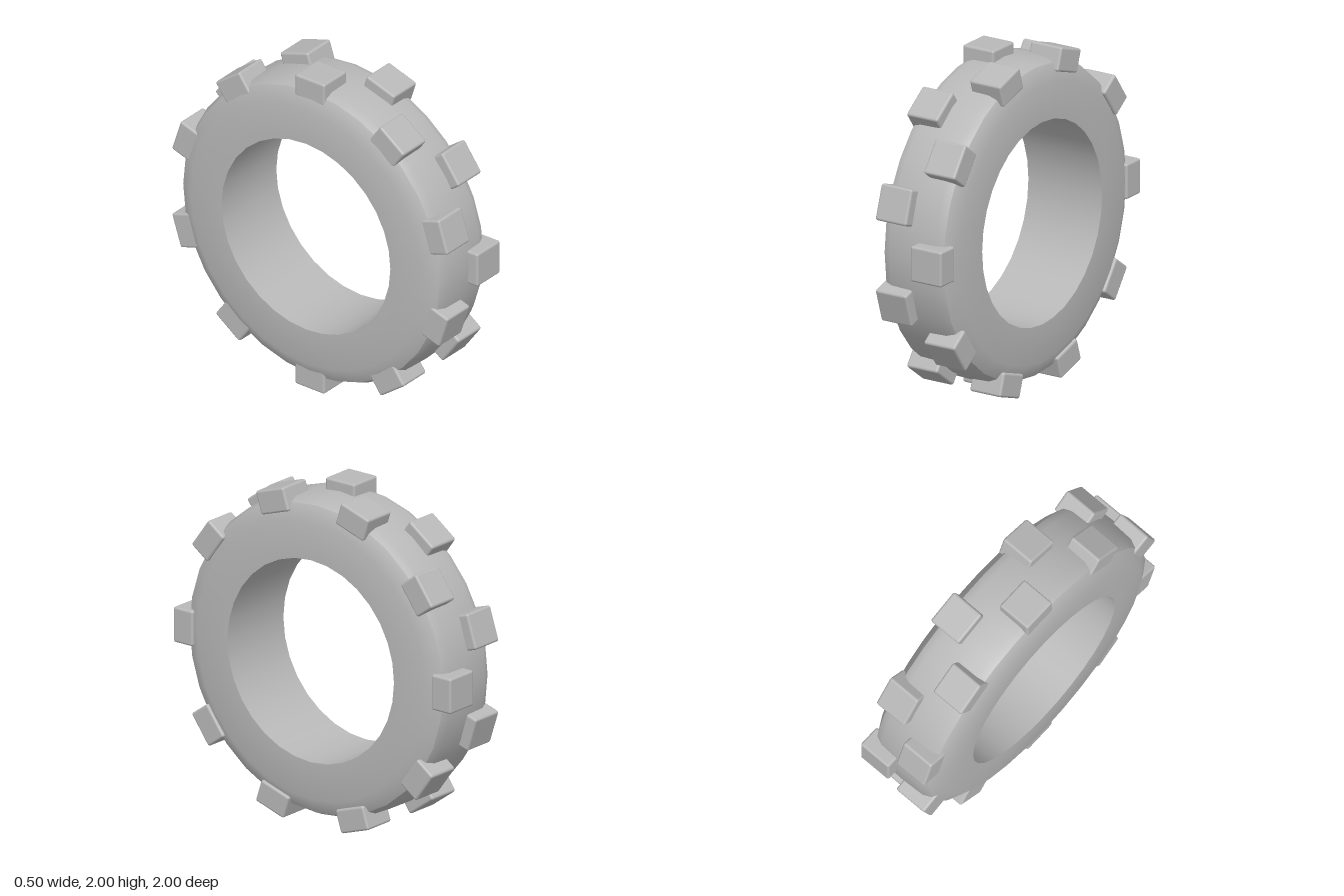
import * as THREE from 'three';
import { RoundedBoxGeometry } from 'three/addons/geometries/RoundedBoxGeometry.js';

const SIDES = 32;
const KNOBS = 10;

export function createModel() {
  const model = new THREE.Group();
  model.name = 'knobblyTyre';
  const rubber = new THREE.MeshStandardMaterial({ color: 0xb8b8b8 });
  rubber.name = 'grey rubber';

  // the wheel axis runs along x, one unit above the ground
  const tyre = new THREE.Group();
  tyre.name = 'tyre';
  tyre.position.y = 1;
  model.add(tyre);

  // ring surface from [radius, x] pairs; separate rings keep the creases sharp
  const ring = (name, profile) => {
    const points = profile.map(([r, x]) => new THREE.Vector2(r, x));
    const geometry = new THREE.LatheGeometry(points, SIDES).rotateZ(-Math.PI / 2);
    const mesh = new THREE.Mesh(geometry, rubber);
    mesh.name = name;
    tyre.add(mesh);
  };

  ring('tread', [[0.912, -0.2], [0.934, -0.15], [0.94, 0], [0.934, 0.15], [0.912, 0.2]]);
  ring('leftSidewall', [[0.912, 0.2], [0.82, 0.25], [0.6, 0.25]]);
  ring('rightSidewall', [[0.6, -0.25], [0.82, -0.25], [0.912, -0.2]]);
  ring('bore', [[0.6, 0.25], [0.6, -0.25]]);

  // two staggered rows of rounded knobs
  const knobGeometry = new RoundedBoxGeometry(0.21, 0.21, 0.14, 3, 0.014);
  const addRow = (name, x, offset) => {
    const row = new THREE.Group();
    row.name = name;
    for (let i = 0; i < KNOBS; i++) {
      const angle = ((i + offset) / KNOBS) * Math.PI * 2;
      const knob = new THREE.Mesh(knobGeometry, rubber);
      knob.name = 'knob';
      knob.position.set(x, Math.sin(angle) * 0.93, Math.cos(angle) * 0.93);
      knob.rotation.x = -angle;
      row.add(knob);
    }
    tyre.add(row);
  };
  addRow('leftKnobs', 0.137, 0);
  addRow('rightKnobs', -0.114, 0.5);

  return model;
}
